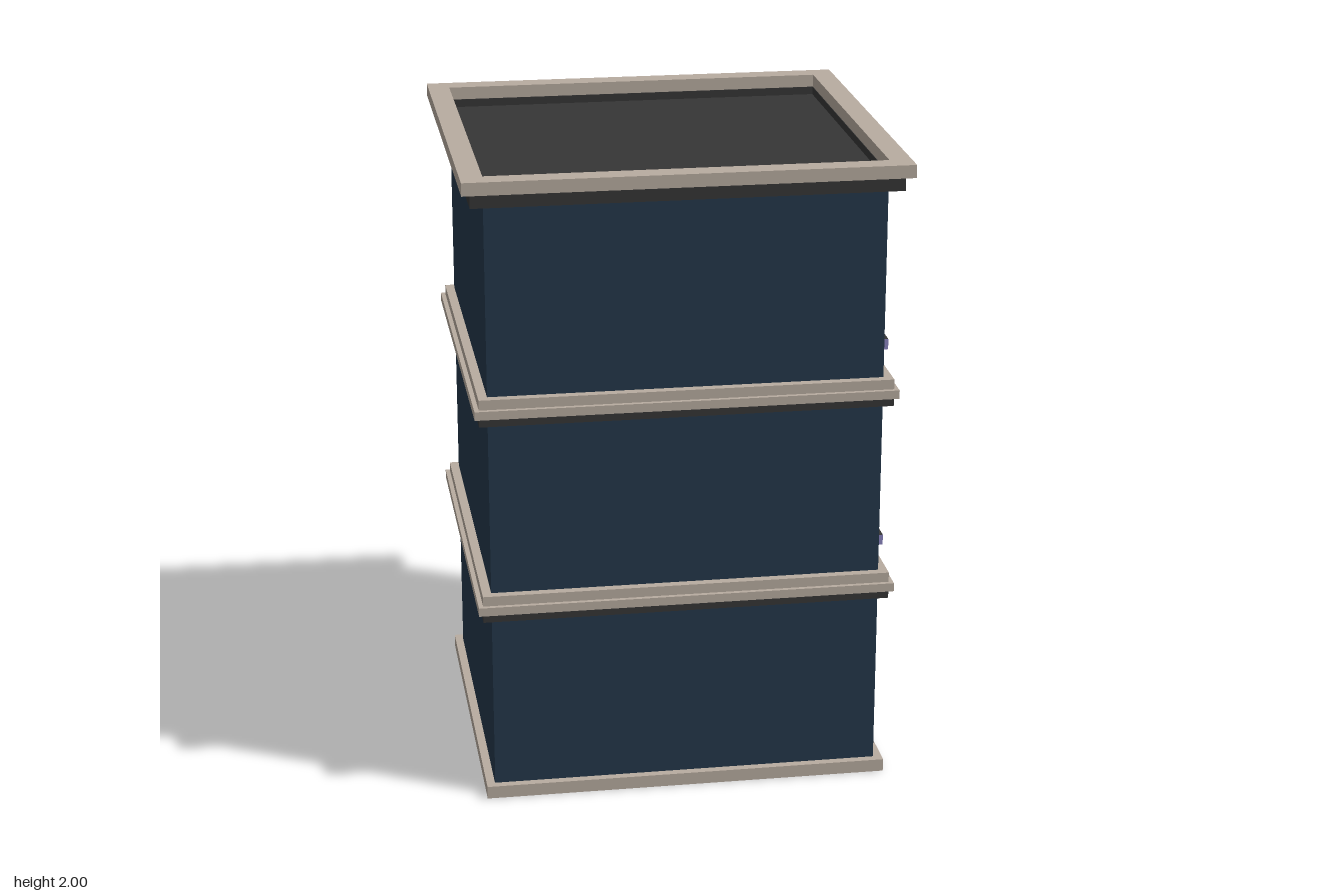
import * as THREE from 'three';

const mat = (name, color, side = THREE.FrontSide) => {
  const m = new THREE.MeshStandardMaterial({ color, side });
  m.name = name;
  return m;
};

// House footprint
const X0 = -0.61, X1 = 0.6, Z = 0.56;

export function createModel() {
  const group = new THREE.Group();
  const wall = mat('navy wall', 0x24374a, THREE.DoubleSide);
  const trim = mat('beige trim', 0xb8aca0);
  const dark = mat('charcoal', 0x363636, THREE.DoubleSide);
  const glass = mat('teal glass', 0x30898a, THREE.DoubleSide);
  const wood = mat('brown wood', 0x3a2410);
  const groove = mat('dark wood', 0x21140a);
  const sillSide = mat('lilac sill', 0x8a84c0);

  const add = (name, geo, material, parent = group) => {
    const m = new THREE.Mesh(geo, material);
    m.name = name;
    parent.add(m);
    return m;
  };
  // Box given by its limits
  const box = (name, x0, x1, y0, y1, z0, z1, material, parent) => {
    const m = add(name, new THREE.BoxGeometry(x1 - x0, y1 - y0, z1 - z0), material, parent);
    m.position.set((x0 + x1) / 2, (y0 + y1) / 2, (z0 + z1) / 2);
    return m;
  };
  const rect = (C, a0, a1, b0, b1) => {
    const s = new C();
    s.moveTo(a0, b0);
    s.lineTo(a1, b0);
    s.lineTo(a1, b1);
    s.lineTo(a0, b1);
    s.closePath();
    return s;
  };
  // Horizontal moulding around the whole house
  const ring = (name, y0, y1, out, inset, material) => {
    const s = rect(THREE.Shape, X0 - out, X1 + out, -Z - out, Z + out);
    s.holes.push(rect(THREE.Path, X0 + inset, X1 - inset, -Z + inset, Z - inset));
    const g = new THREE.ExtrudeGeometry(s, { depth: y1 - y0, bevelEnabled: false });
    g.rotateX(-Math.PI / 2).translate(0, y0, 0);
    add(name, g, material);
  };
  // Upright rectangular frame lying on the +x wall
  const frame = (name, x0, x1, y0, y1, half, t, material, parent) => {
    const s = rect(THREE.Shape, -half, half, y0, y1);
    s.holes.push(rect(THREE.Path, -half + t, half - t, y0 + t, y1 - t));
    const g = new THREE.ExtrudeGeometry(s, { depth: x1 - x0, bevelEnabled: false });
    g.rotateY(Math.PI / 2).translate(x0, 0, 0);
    add(name, g, material, parent);
  };

  // Window layout: centre z and bottom y, with the thicker rail upstairs
  const windows = [];
  for (const z of [-0.282, 0.282]) {
    windows.push({ z, y: 0.73, thick: false }, { z, y: 1.38, thick: true });
  }
  const H = 0.455, HALF = 0.148, DEEP = 0.578, TOP = 1.932;

  // Plain walls
  const wallPlane = (name, w, x, z, turn) => {
    const m = add(name, new THREE.PlaneGeometry(w, TOP), wall);
    m.position.set(x, TOP / 2, z);
    m.rotation.y = turn;
  };
  wallPlane('frontWall', X1 - X0, (X0 + X1) / 2, Z, 0);
  wallPlane('backWall', X1 - X0, (X0 + X1) / 2, -Z, Math.PI);
  wallPlane('blankSideWall', 2 * Z, X0, 0, -Math.PI / 2);

  // Wall with window openings
  const face = rect(THREE.Shape, -Z, Z, 0, TOP);
  for (const { z, y } of windows) {
    face.holes.push(rect(THREE.Path, -z - HALF + 0.004, -z + HALF - 0.004, y + 0.004, y + H - 0.004));
  }
  add('windowWall', new THREE.ShapeGeometry(face).rotateY(Math.PI / 2).translate(X1, 0, 0), wall);

  // Base, storey mouldings and cornice
  ring('basePlinth', 0, 0.04, 0.027, -0.001, trim);
  for (const y of [0.6, 1.235]) {
    ring('mouldingUnderside', y, y + 0.027, 0.028, 0.02, dark);
    ring('mouldingLip', y + 0.027, y + 0.054, 0.042, 0.04, trim);
    ring('mouldingTop', y + 0.054, y + 0.085, 0.028, 0.02, trim);
  }
  ring('corniceUnderside', 1.915, 1.96, 0.042, 0.002, dark);
  ring('parapet', 1.96, 2, 0.068, 0, trim);
  box('roof', X0, X1, 1.92, 1.935, -Z, Z, dark);

  // Windows
  for (const { z, y, thick } of windows) {
    const w = new THREE.Group();
    w.name = 'window';
    w.position.z = z;
    group.add(w);
    frame('windowFrame', DEEP, 0.61, y, y + H, HALF, 0.009, trim, w);
    frame('sash', DEEP, 0.603, y + 0.009, y + H - 0.009, HALF - 0.009, 0.005, dark, w);
    box('pane', DEEP - 0.004, DEEP, y, y + H, -HALF, HALF, glass, w);
    // Bars reach out from the glass as thin fins
    const bar = add('uprightBar', new THREE.PlaneGeometry(0.02, H - 0.03), dark, w);
    bar.position.set(DEEP + 0.01, y + H / 2, 0);
    const mid = y + 0.23;
    if (thick) {
      box('crossBar', DEEP, 0.6, mid - 0.01, mid + 0.01, -HALF + 0.01, HALF - 0.01, dark, w);
    } else {
      for (const d of [-0.006, 0.006]) {
        const fin = add('crossBar', new THREE.PlaneGeometry(0.02, 2 * HALF - 0.02), dark, w);
        fin.rotation.x = -Math.PI / 2;
        fin.position.set(DEEP + 0.01, mid + d, 0);
      }
    }
    box('sill', DEEP, 0.645, y - 0.018, y + 0.015, -0.142, 0.142,
      [dark, dark, dark, sillSide, sillSide, sillSide], w);
  }

  // Door with four panels
  const door = new THREE.Group();
  door.name = 'door';
  group.add(door);
  frame('doorFrame', 0.595, 0.61, 0.03, 0.482, 0.146, 0.011, trim, door);
  box('doorLeaf', 0.595, 0.603, 0.03, 0.472, -0.136, 0.136, wood, door);
  box('centreJoint', 0.603, 0.604, 0.04, 0.47, -0.002, 0.002, groove, door);
  for (const y of [0.252, 0.27]) {
    box('railGroove', 0.603, 0.604, y - 0.0015, y + 0.0015, -0.134, 0.134, groove, door);
  }
  for (const s of [-1, 1]) {
    box('frameFoot', 0.6, 0.615, 0.04, 0.052, s * 0.146 - 0.008, s * 0.146 + 0.008, trim, door);
    box('edgeGroove', 0.603, 0.604, 0.04, 0.47, s * 0.133 - 0.002, s * 0.133 + 0.002, groove, door);
  }

  // Doorstep
  box('upperStep', 0.6, 0.64, 0.018, 0.041, -0.152, 0.152, trim);
  box('lowerStep', 0.6, 0.677, 0, 0.018, -0.146, 0.146, trim);

  return group;
}
